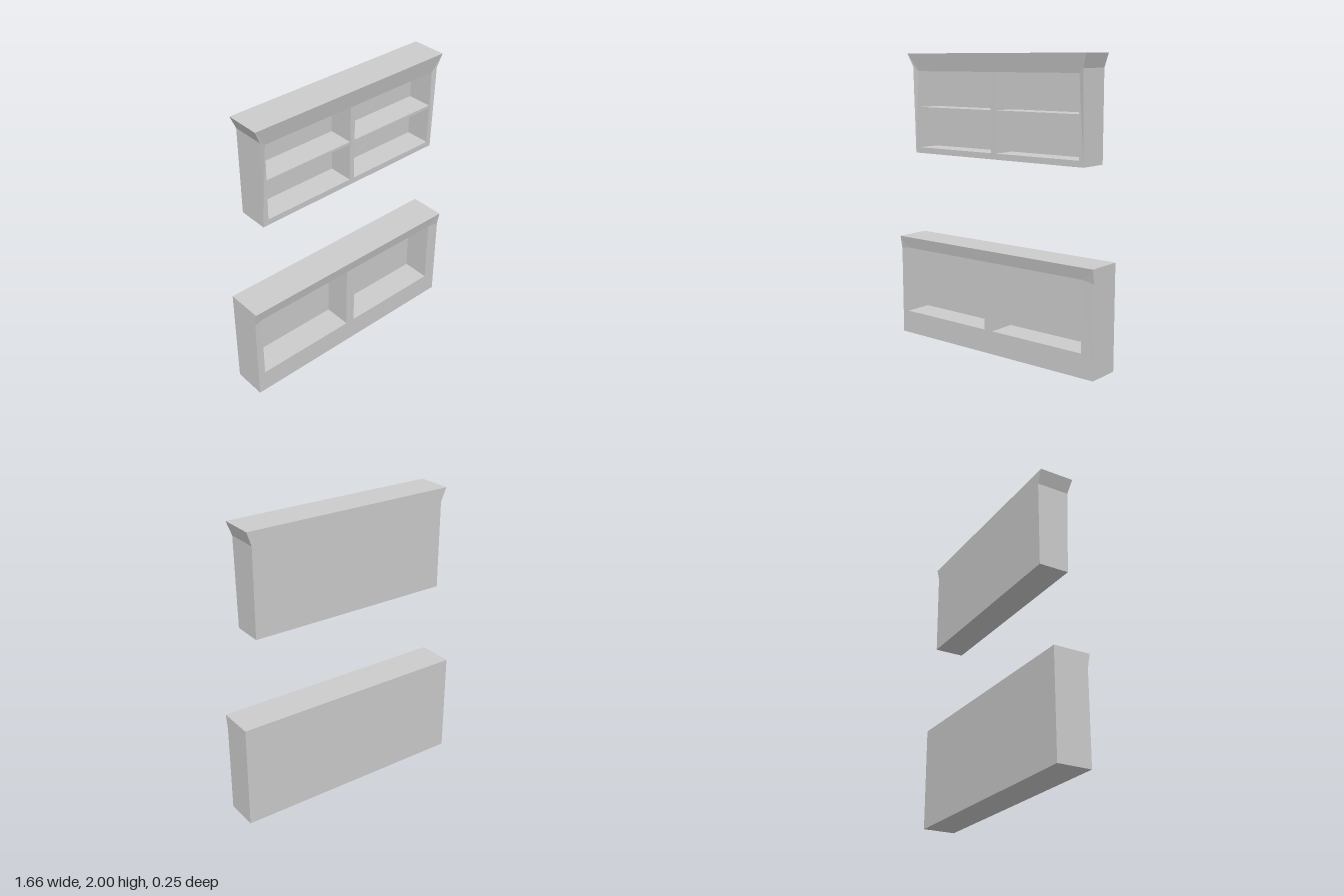
import * as THREE from 'three';

const BACK = -0.125;   // rear face of both cabinets
const RECESS = -0.09;  // rear wall inside the openings

const material = () => new THREE.MeshStandardMaterial({ color: 0xcccccc, flatShading: true });

function addMesh(group, name, geometry) {
  const mesh = new THREE.Mesh(geometry, material());
  mesh.name = name;
  group.add(mesh);
}

function addBox(group, name, x0, x1, y0, y1, z0, z1) {
  const g = new THREE.BoxGeometry(x1 - x0, y1 - y0, z1 - z0);
  g.translate((x0 + x1) / 2, (y0 + y1) / 2, (z0 + z1) / 2);
  addMesh(group, name, g);
}

// Sides, divider and base rail: one comb-shaped outline whose front leans slightly
function frameGeometry(c) {
  const [[a0, a1], [b0, b1]] = c.openings;
  const outline = [
    [c.x0, c.y0], [c.x1, c.y0], [c.x1, c.yFlare],
    [b1, c.head], [b1, c.sill], [b0, c.sill], [b0, c.head],
    [a1, c.head], [a1, c.sill], [a0, c.sill], [a0, c.head],
    [c.x0, c.yFlare],
  ].map(([x, y]) => new THREE.Vector2(x, y));
  const g = new THREE.ExtrudeGeometry(new THREE.Shape(outline), { depth: 1, bevelEnabled: false });
  const p = g.attributes.position;
  for (let i = 0; i < p.count; i++) {
    const front = p.getZ(i) > 0.5;
    p.setZ(i, front ? c.frontAt(p.getX(i), p.getY(i)) : BACK);
  }
  g.computeVertexNormals();
  return g;
}

// Flared top: six-sided section joined from back to front
function crownGeometry(c) {
  const a0 = c.openings[0][0], b1 = c.openings[1][1];
  const ring = [
    [c.x0, c.yFlare], [a0, c.head], [b1, c.head],
    [c.x1, c.yFlare], [c.top1, c.yTop], [c.top0, c.yTop],
  ];
  const n = ring.length, pos = [], index = [];
  ring.forEach(([x, y]) => pos.push(x, y, y === c.yTop ? c.zTop : c.frontAt(x, y)));
  ring.forEach(([x, y]) => pos.push(x, y, BACK));
  for (const [i, j, k] of [[0, 1, 5], [1, 2, 4], [1, 4, 5], [2, 3, 4]]) {
    index.push(i, j, k, n + i, n + k, n + j);
  }
  for (let i = 0; i < n; i++) {
    const j = (i + 1) % n;
    index.push(i, n + i, j, j, n + i, n + j);
  }
  const indexed = new THREE.BufferGeometry();
  indexed.setAttribute('position', new THREE.Float32BufferAttribute(pos, 3));
  indexed.setIndex(index);
  const g = indexed.toNonIndexed();
  g.computeVertexNormals();
  return g;
}

function makeCabinet(name, c) {
  const group = new THREE.Group();
  group.name = name;
  // Front depth: a straight lean from base to head, a little further out at the outer flare corners
  c.frontAt = (x, y) => (y === c.yFlare || Math.abs(y - c.yFlare) < 1e-4)
    ? c.zFlare
    : THREE.MathUtils.mapLinear(y, c.y0, c.head, c.zBase, c.zHead);
  addMesh(group, 'frame', frameGeometry(c));
  addMesh(group, 'crown', crownGeometry(c));
  c.openings.forEach(([x0, x1]) => {
    addBox(group, 'backPanel', x0, x1, c.sill, c.head, BACK, RECESS);
    if (c.shelf) addBox(group, 'shelf', x0, x1, c.shelf[0], c.shelf[1], RECESS, 0.083);
  });
  return group;
}

export function createModel() {
  const model = new THREE.Group();
  model.name = 'cabinets';

  // Wall cabinet with four compartments
  model.add(makeCabinet('upperCabinet', {
    x0: -0.7, x1: 0.72, y0: 1.315, yFlare: 1.91, yTop: 2,
    top0: -0.74, top1: 0.75,
    sill: 1.355, head: 1.88, openings: [[-0.66, -0.01], [0.025, 0.685]],
    shelf: [1.615, 1.635],
    zBase: 0.082, zHead: 0.09, zFlare: 0.1, zTop: 0.115,
  }));

  // Base cabinet with two compartments
  model.add(makeCabinet('lowerCabinet', {
    x0: -0.83, x1: 0.828, y0: 0, yFlare: 0.615, yTop: 0.71,
    top0: -0.83, top1: 0.828,
    sill: 0.16, head: 0.63, openings: [[-0.778, -0.053], [0.015, 0.737]],
    zBase: 0.105, zHead: 0.107, zFlare: 0.108, zTop: 0.125,
  }));

  return model;
}
